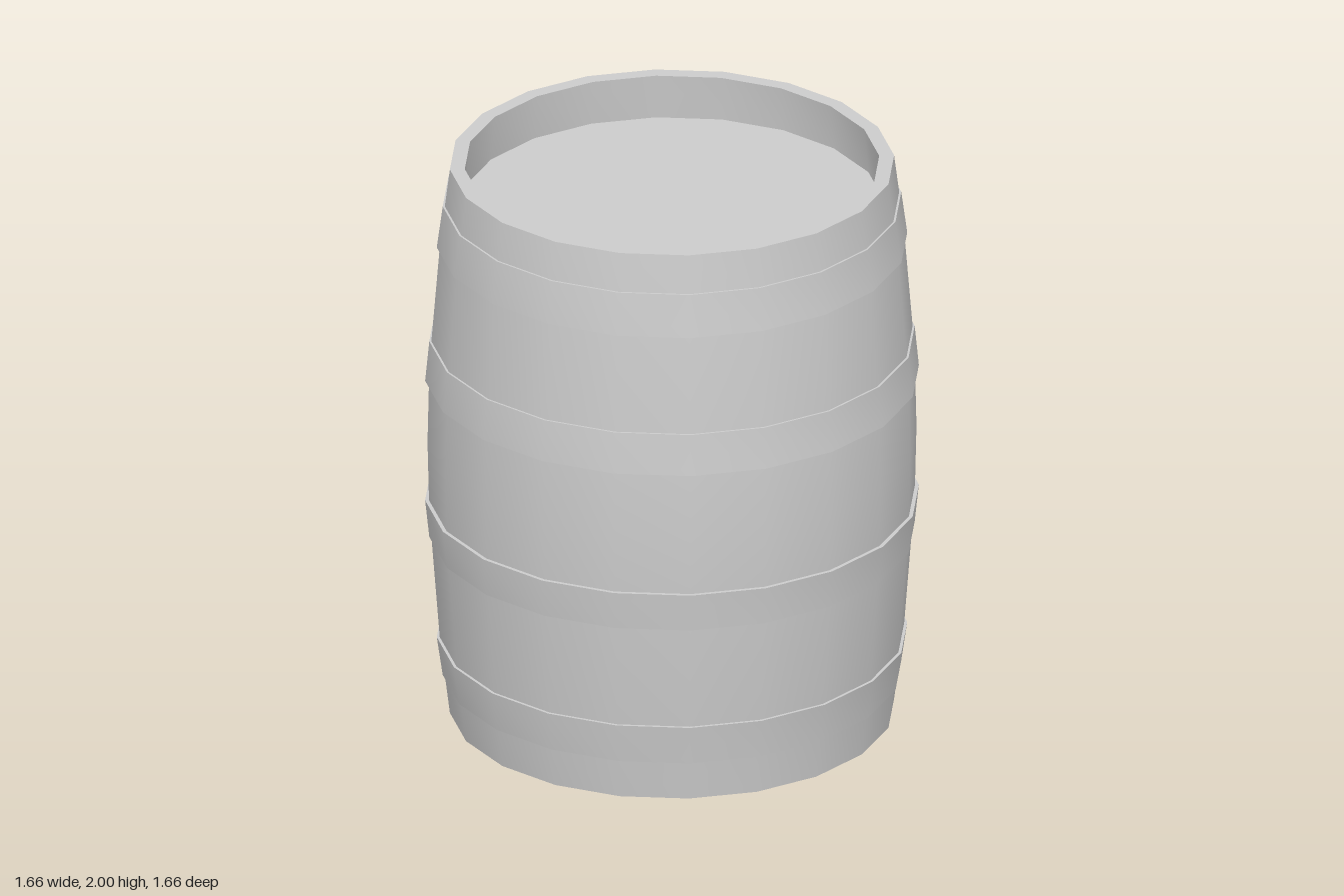
import * as THREE from 'three';
import { toCreasedNormals } from 'three/addons/utils/BufferGeometryUtils.js';

const SIDES = 20;

export function createModel() {
  const barrel = new THREE.Group();
  barrel.name = 'barrel';
  const material = new THREE.MeshStandardMaterial({ color: 0xcccccc });

  const add = (name, geometry, parent = barrel) => {
    const mesh = new THREE.Mesh(geometry, material);
    mesh.name = name;
    parent.add(mesh);
    return mesh;
  };

  // Revolve a profile, smooth around the barrel but sharp at the rims
  const revolve = (profile) => toCreasedNormals(
    new THREE.LatheGeometry(profile.map(([r, y]) => new THREE.Vector2(r, y)), SIDES), 0.5);

  // Staves: bulging wall with a rim turned inward at both ends
  const wall = [
    [0.745, 0], [0.762, 0.14], [0.779, 0.28], [0.807, 0.65], [0.815, 0.785], [0.82, 1],
    [0.815, 1.225], [0.807, 1.37], [0.779, 1.715], [0.762, 1.865], [0.745, 2],
  ];
  add('staves', revolve([[0.71, 0.12], [0.695, 0], ...wall, [0.695, 2], [0.71, 1.84]]));

  // Recessed heads closing the two ends
  for (const [name, y, turn] of [['topHead', 1.84, -1], ['bottomHead', 0.12, 1]]) {
    const head = add(name, new THREE.CircleGeometry(0.71, SIDES));
    head.rotation.x = turn * Math.PI / 2;
    head.position.y = y;
  }

  // Hoops: bottom height, bottom radius, top height, top radius
  const hoops = new THREE.Group();
  hoops.name = 'hoops';
  barrel.add(hoops);
  const bands = [
    [0.14, 0.769, 0.28, 0.789],
    [0.65, 0.814, 0.785, 0.828],
    [1.225, 0.828, 1.37, 0.814],
    [1.715, 0.789, 1.865, 0.769],
  ];
  bands.forEach(([y0, r0, y1, r1], i) => {
    add(`hoop${i + 1}`, revolve([[r0 - 0.02, y0], [r0, y0], [r1, y1], [r1 - 0.02, y1]]), hoops);
  });

  return barrel;
}
